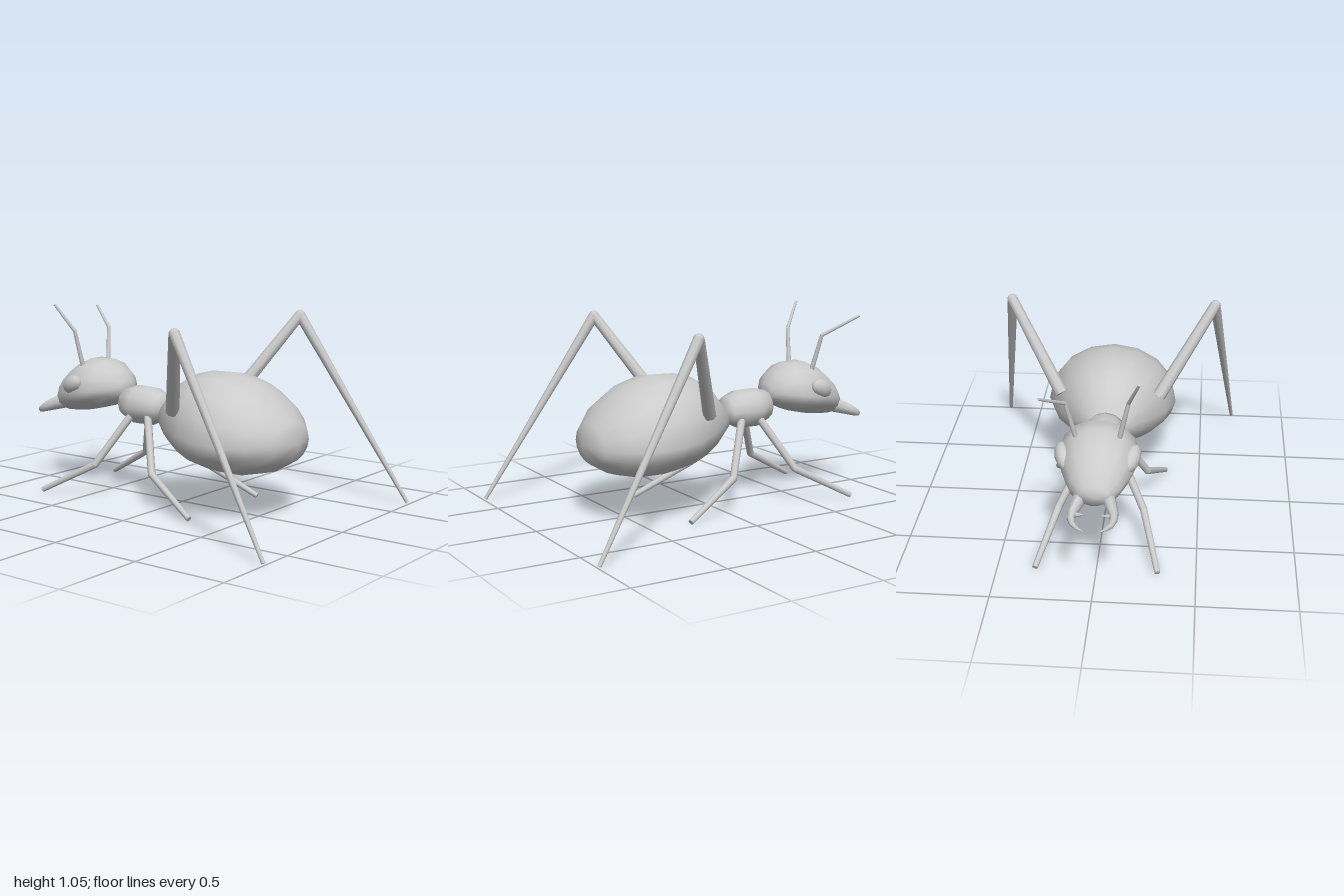
import * as THREE from 'three';

const material = new THREE.MeshStandardMaterial({ color: 0xcccccc });
const V = (x, y, z) => new THREE.Vector3(x, y, z);

function addMesh(parent, geometry, name) {
  const mesh = new THREE.Mesh(geometry, material);
  mesh.name = name;
  parent.add(mesh);
  return mesh;
}

// Body lofted along z; each section is [z, top, widest height, bottom, half width]
function loft(sections, sides) {
  const pos = [], index = [], rings = [];
  for (const [z, top, mid, bottom, w] of sections) {
    const start = pos.length / 3;
    const count = w === 0 ? 1 : sides; // a zero width closes to a pole
    for (let j = 0; j < count; j++) {
      const a = (j / sides) * Math.PI * 2, s = Math.sin(a);
      pos.push(w * Math.cos(a), mid + s * (s > 0 ? top - mid : mid - bottom), z);
    }
    rings.push(j => start + (j % count));
  }
  for (let i = 0; i < rings.length - 1; i++) {
    const p = rings[i], q = rings[i + 1];
    for (let j = 0; j < sides; j++) {
      if (p(j) !== p(j + 1)) index.push(p(j), p(j + 1), q(j));
      if (q(j) !== q(j + 1)) index.push(p(j + 1), q(j + 1), q(j));
    }
  }
  const g = new THREE.BufferGeometry();
  g.setAttribute('position', new THREE.Float32BufferAttribute(pos, 3));
  g.setIndex(index);
  g.computeVertexNormals();
  return g;
}

// Jointed limb: tapered segments between points with rounded joints
function limb(points, radii, name) {
  const group = new THREE.Group();
  group.name = name;
  for (let i = 0; i < points.length - 1; i++) {
    const dir = points[i + 1].clone().sub(points[i]);
    const seg = addMesh(group, new THREE.CylinderGeometry(radii[i + 1], radii[i], dir.length(), 8), 'segment');
    seg.position.copy(points[i]).addScaledVector(dir, 0.5);
    seg.quaternion.setFromUnitVectors(V(0, 1, 0), dir.normalize());
    if (i > 0) addMesh(group, new THREE.SphereGeometry(radii[i], 8, 6), 'joint').position.copy(points[i]);
  }
  return group;
}

// Curved horn: a tube whose radius shrinks to the tip, a little taller than wide
function horn(points, baseRadius) {
  const steps = 8, sides = 8;
  const curve = new THREE.CatmullRomCurve3(points);
  const g = new THREE.TubeGeometry(curve, steps, baseRadius, sides);
  const p = g.attributes.position, v = V(0, 0, 0);
  for (let i = 0; i < p.count; i++) {
    const t = Math.floor(i / (sides + 1)) / steps;
    const c = curve.getPointAt(t);
    v.fromBufferAttribute(p, i).sub(c).multiplyScalar(1 - 0.95 * t ** 1.6);
    v.y *= 1.25;
    v.add(c);
    p.setXYZ(i, v.x, v.y, v.z);
  }
  g.computeVertexNormals();
  return g;
}

export function createModel() {
  const model = new THREE.Group();
  model.name = 'ant';

  addMesh(model, loft([
    [-0.11, 0.47, 0.47, 0.47, 0],
    [-0.08, 0.55, 0.47, 0.395, 0.115],
    [0.01, 0.658, 0.46, 0.32, 0.195],
    [0.1, 0.712, 0.45, 0.272, 0.258],
    [0.2, 0.738, 0.43, 0.243, 0.31],
    [0.34, 0.742, 0.42, 0.225, 0.355],
    [0.48, 0.7, 0.41, 0.225, 0.342],
    [0.6, 0.612, 0.41, 0.252, 0.286],
    [0.69, 0.52, 0.405, 0.305, 0.17],
    [0.738, 0.41, 0.41, 0.41, 0],
  ], 16), 'abdomen');

  addMesh(model, loft([
    [-0.395, 0.53, 0.53, 0.53, 0],
    [-0.38, 0.594, 0.51, 0.433, 0.09],
    [-0.3, 0.613, 0.5, 0.397, 0.11],
    [-0.2, 0.61, 0.5, 0.4, 0.11],
    [-0.13, 0.58, 0.5, 0.433, 0.092],
    [-0.1, 0.5, 0.5, 0.5, 0],
  ], 12), 'thorax');

  addMesh(model, loft([
    [-0.872, 0.51, 0.51, 0.51, 0],
    [-0.85, 0.555, 0.505, 0.45, 0.075],
    [-0.8, 0.625, 0.52, 0.425, 0.125],
    [-0.72, 0.695, 0.545, 0.43, 0.165],
    [-0.615, 0.743, 0.56, 0.445, 0.198],
    [-0.51, 0.738, 0.575, 0.47, 0.195],
    [-0.43, 0.69, 0.585, 0.508, 0.135],
    [-0.39, 0.63, 0.585, 0.535, 0.07],
    [-0.378, 0.585, 0.585, 0.585, 0],
  ], 14), 'head');

  for (const s of [1, -1]) {
    const side = s > 0 ? 'left' : 'right';

    // Eye, low and tilted forward on the side of the head
    const eye = addMesh(model, new THREE.SphereGeometry(1, 10, 8), side + 'Eye');
    eye.position.set(s * 0.168, 0.602, -0.643);
    eye.scale.set(0.042, 0.05, 0.085);
    eye.rotation.set(-0.4, s * 0.25, 0);

    // Hooked mandible with an inner tooth
    addMesh(model, horn([
      V(s * 0.06, 0.485, -0.79), V(s * 0.083, 0.462, -0.86), V(s * 0.103, 0.435, -0.925),
      V(s * 0.087, 0.415, -0.972), V(s * 0.04, 0.4, -0.997),
    ], 0.034), side + 'Mandible');
    const tooth = addMesh(model, new THREE.ConeGeometry(0.018, 0.06, 6), side + 'MandibleTooth');
    tooth.position.set(s * 0.067, 0.437, -0.912);
    tooth.rotation.z = s * Math.PI / 2;

    // Hind leg, raised high above the abdomen
    model.add(limb([V(s * 0.265, 0.55, 0.14), V(s * 0.555, 0.995, 0.38), V(s * 0.69, 0.01, 0.995)],
      [0.036, 0.029, 0.01], side + 'HindLeg'));

    // Front and middle legs mirror each other about the thorax
    for (const [d, name] of [[-1, 'FrontLeg'], [1, 'MiddleLeg']]) {
      const z = o => -0.237 + d * o;
      model.add(limb([V(s * 0.07, 0.47, z(0.05)), V(s * 0.22, 0.185, z(0.2)), V(s * 0.308, 0.014, z(0.515))],
        [0.022, 0.02, 0.015], side + name));
    }
  }

  // Antennae, each bent differently
  model.add(limb([V(0.108, 0.7, -0.62), V(0.153, 0.895, -0.653), V(0.255, 1.002, -0.83)],
    [0.013, 0.01, 0.007], 'leftAntenna'));
  model.add(limb([V(-0.106, 0.7, -0.62), V(-0.15, 0.9, -0.638), V(-0.205, 1.045, -0.735)],
    [0.013, 0.01, 0.007], 'rightAntenna'));

  return model;
}
